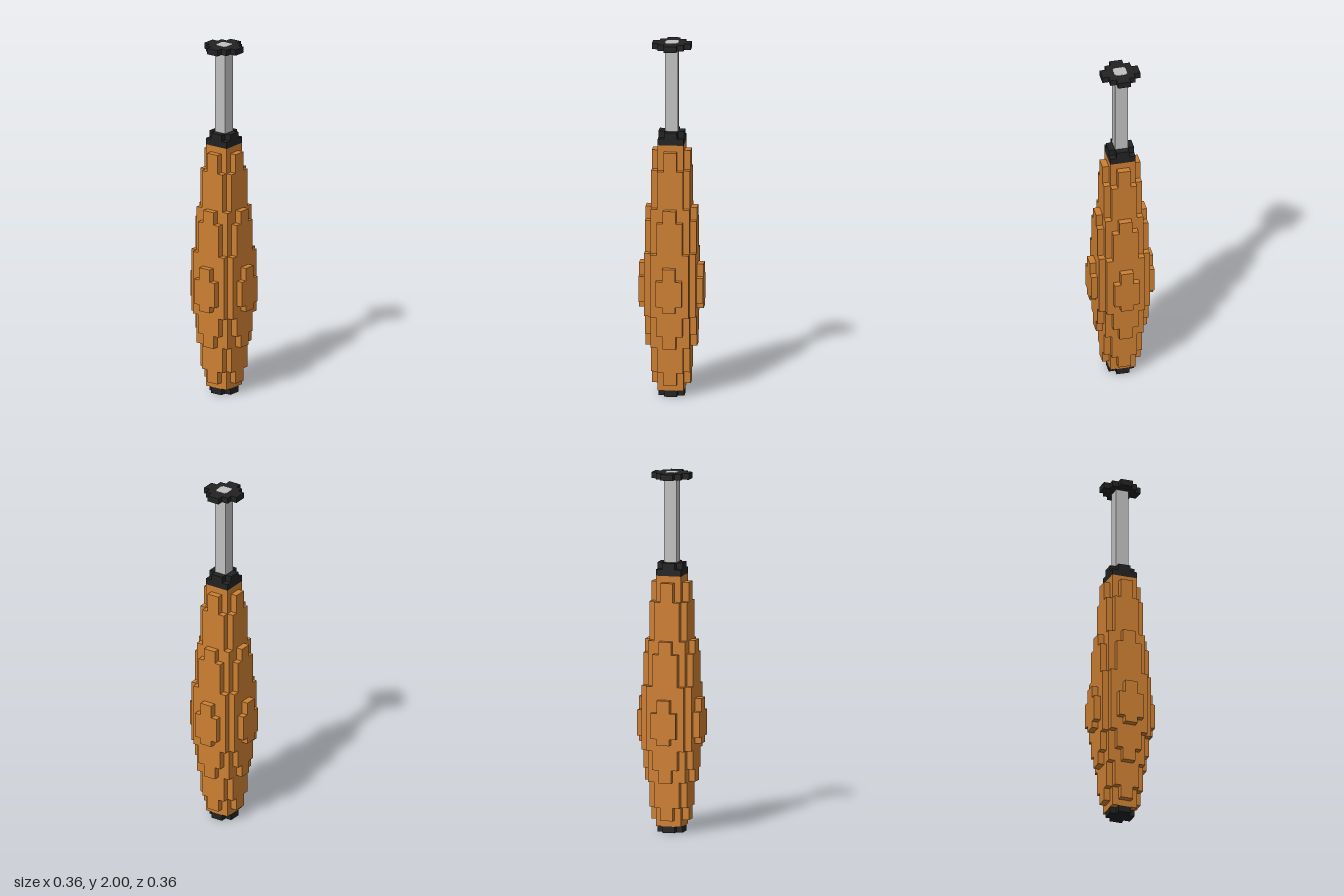
import * as THREE from 'three';

const V = 2 / 56; // edge of one block

const bronze = new THREE.MeshStandardMaterial({ color: 0xcd7f32 });
bronze.name = 'bronze';
const black = new THREE.MeshStandardMaterial({ color: 0x222222 });
black.name = 'black';
const silver = new THREE.MeshStandardMaterial({ color: 0xc0c0c0 });
silver.name = 'silver';

// Stepped round outline: rows[j] is the half width, in blocks, of the j-th row from the middle
function steppedDisc(rows) {
  const quarter = [];
  rows.forEach((w, j) => {
    if (j > 0 && w !== rows[j - 1]) quarter.push([w, j]);
    quarter.push([w, j + 1]);
  });
  const points = [];
  for (let q = 0; q < 4; q++) {
    for (const [a, b] of quarter) {
      let x = a, y = b;
      for (let k = 0; k < q; k++) [x, y] = [-y, x];
      points.push(new THREE.Vector2(x * V, y * V));
    }
  }
  return new THREE.Shape(points);
}

// Upright slab of a stepped outline between two block heights
function slab(name, rows, from, to, material) {
  const geometry = new THREE.ExtrudeGeometry(steppedDisc(rows), {
    depth: (to - from) * V, bevelEnabled: false,
  });
  geometry.rotateX(-Math.PI / 2);
  geometry.translate(0, from * V, 0);
  const mesh = new THREE.Mesh(geometry, material);
  mesh.name = name;
  return mesh;
}

export function createModel() {
  const model = new THREE.Group();
  model.name = 'plunger';

  // Base cap
  model.add(slab('baseCap', [2, 1], 0, 1, black));

  // Bulging body: nested shells, each wider and shorter than the last
  const body = new THREE.Group();
  body.name = 'body';
  const shells = [
    [[2, 2], 1, 40],
    [[3, 2, 1], 2, 39],
    [[3, 3, 2], 4, 36],
    [[4, 3, 3, 1], 8, 30],
    [[4, 4, 3, 2], 10, 28],
    [[4, 4, 4, 3], 13, 23],
    [[5, 4, 4, 3, 1], 14, 21],
    [[5, 5, 4, 3, 2], 15, 19],
  ];
  shells.forEach(([rows, from, to], i) => body.add(slab('bodyShell' + (i + 1), rows, from, to, bronze)));
  model.add(body);

  // Stepped collar
  model.add(slab('collarLower', [2, 2], 40, 41, black));
  model.add(slab('collarUpper', [2, 1], 41, 42, black));

  // Square shaft and the stepped plate on its end
  model.add(slab('shaft', [1], 42, 55, silver));
  model.add(slab('endPlate', [3, 2, 1], 55, 55.95, black));

  // Shaft end showing through the plate, with nicked corners
  for (const [w, d] of [[1, 0.8], [0.8, 1]]) {
    const inset = new THREE.Mesh(new THREE.BoxGeometry(2 * w * V, 0.2 * V, 2 * d * V), silver);
    inset.position.y = 55.9 * V;
    inset.name = 'shaftEnd';
    model.add(inset);
  }
  return model;
}
